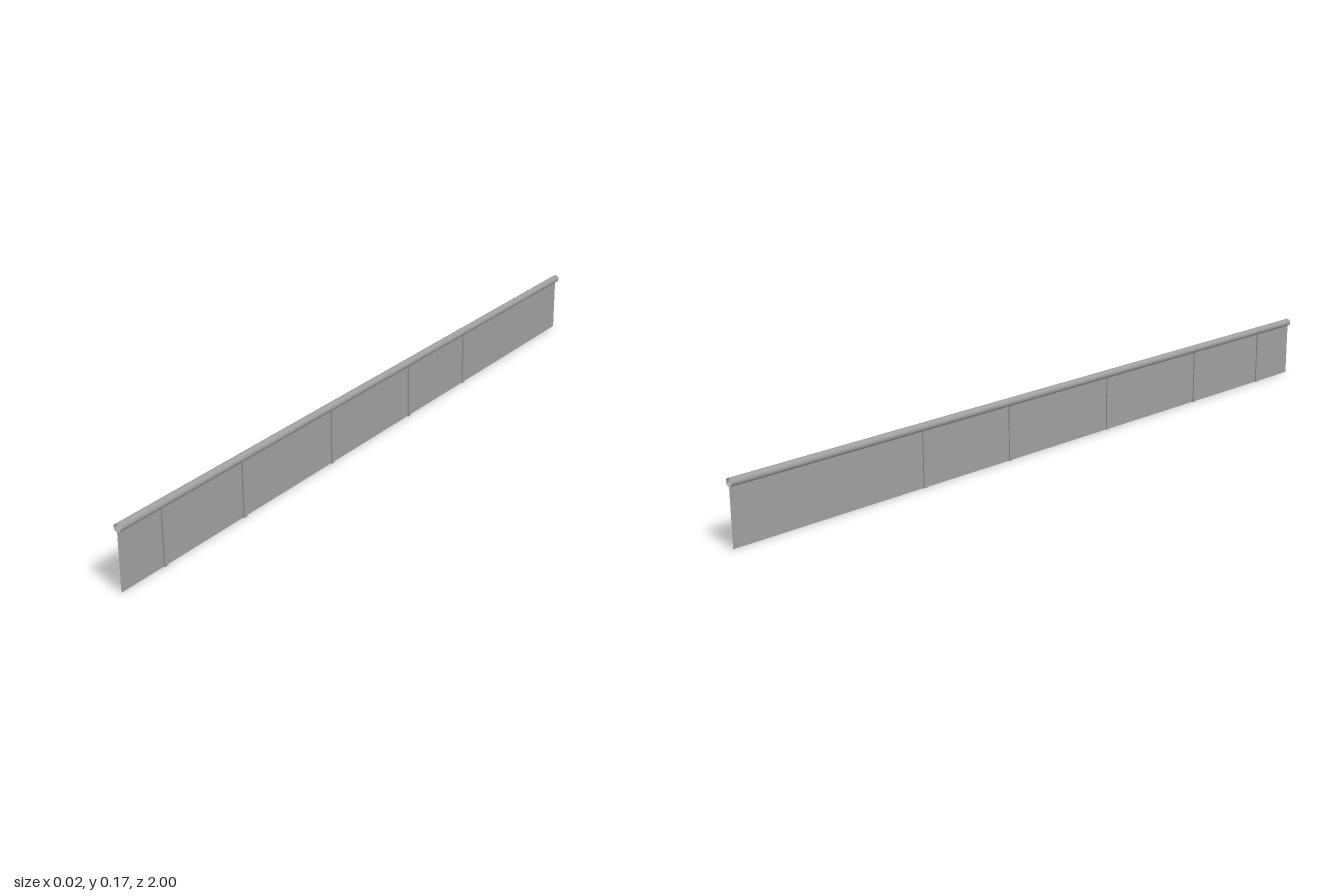
import * as THREE from 'three';

const LENGTH = 2;
const PANEL_HEIGHT = 0.147;
const RAIL_RADIUS = 0.0105;

export function createModel() {
  const group = new THREE.Group();
  const solid = new THREE.MeshStandardMaterial({ color: 0x9e9e9e });
  const open = new THREE.MeshStandardMaterial({ color: 0x9e9e9e, side: THREE.DoubleSide });

  const add = (name, geometry, material, x, y, z) => {
    const mesh = new THREE.Mesh(geometry, material);
    mesh.name = name;
    mesh.position.set(x, y, z);
    group.add(mesh);
  };

  // Thin infill sheet along the whole length
  const sheet = new THREE.PlaneGeometry(LENGTH, PANEL_HEIGHT).rotateY(Math.PI / 2);
  add('panel', sheet, open, -0.001, PANEL_HEIGHT / 2, 0);

  // Open-ended round handrail resting on the sheet
  const tube = new THREE.CylinderGeometry(RAIL_RADIUS, RAIL_RADIUS, LENGTH, 16, 1, true).rotateX(Math.PI / 2);
  add('handrail', tube, open, 0, PANEL_HEIGHT - 0.0005 + RAIL_RADIUS, 0);

  // Slim posts, with the sheet running through them
  const post = new THREE.BoxGeometry(0.008, PANEL_HEIGHT, 0.01);
  for (const z of [0.855, 0.568, 0.206, -0.156, -0.443]) {
    add('post', post, solid, -0.0005, PANEL_HEIGHT / 2, z);
  }

  return group;
}
